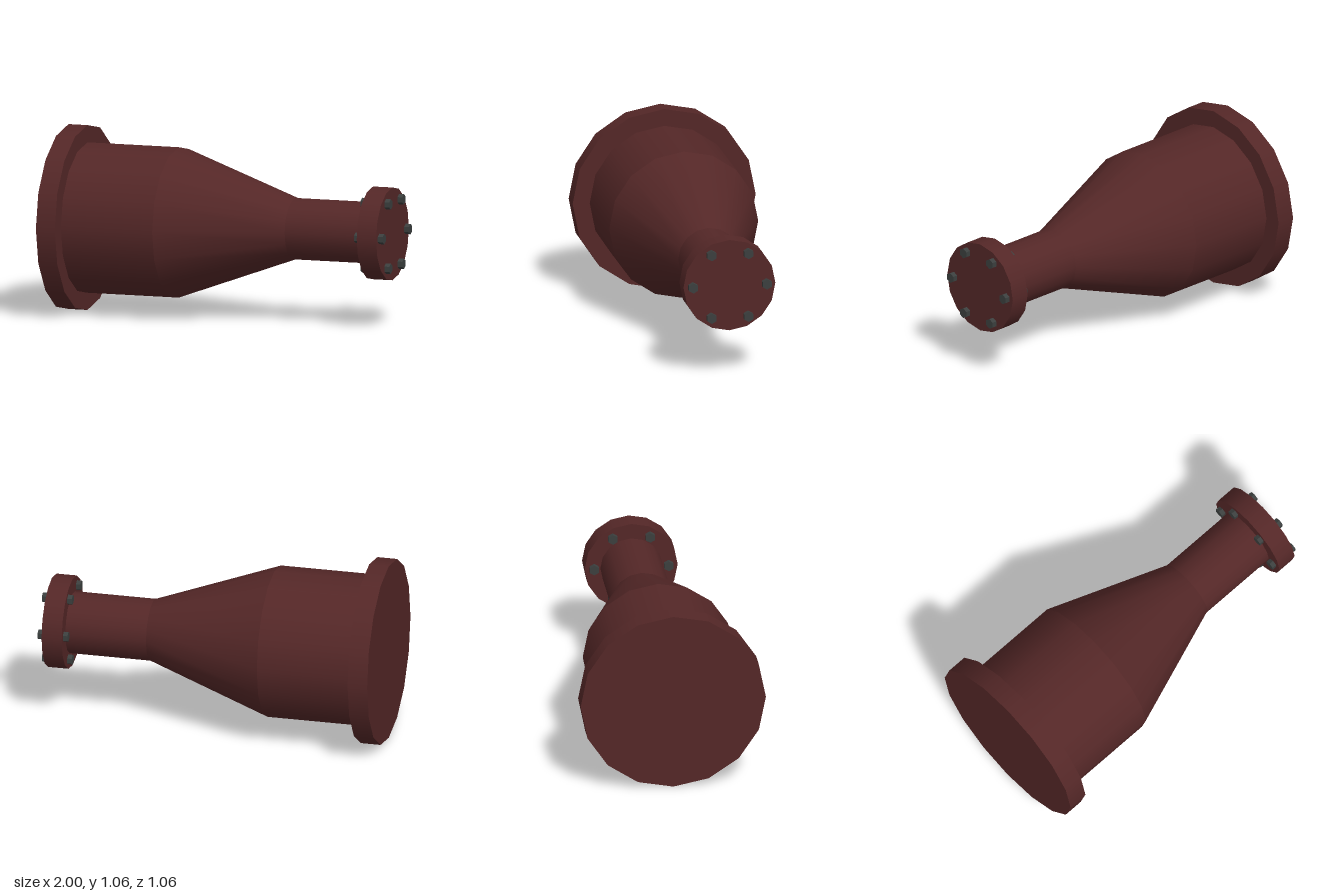
import * as THREE from 'three';

const SIDES = 16;
const AXIS_Y = 0.532;

// Cylinder lying along x from x0 (radius r0) to x1 (radius r1)
function axial(x0, x1, r0, r1, sides, open, turn = 0) {
  const g = new THREE.CylinderGeometry(r1, r0, x1 - x0, sides, 1, open);
  g.rotateY(turn).rotateZ(-Math.PI / 2);
  return g.translate((x0 + x1) / 2, 0, 0);
}

export function createModel() {
  const model = new THREE.Group();
  model.name = 'pipeReducer';

  const paint = new THREE.MeshStandardMaterial({ color: 0x542727 });
  paint.name = 'dark red paint';
  const steel = new THREE.MeshStandardMaterial({ color: 0x3b3f3e });
  steel.name = 'dark steel';

  const add = (name, geometry, material) => {
    const mesh = new THREE.Mesh(geometry, material);
    mesh.name = name;
    mesh.position.y = AXIS_Y;
    model.add(mesh);
    return mesh;
  };

  // Flanges, closed at both ends
  add('largeFlange', axial(-1, -0.885, 0.532, 0.532, SIDES, false), paint);
  add('smallFlange', axial(0.852, 0.97, 0.267, 0.267, SIDES, false), paint);

  // Pipe: wide section, taper and neck
  add('widePipe', axial(-0.885, -0.33, 0.433, 0.433, SIDES, true), paint);
  add('taper', axial(-0.33, 0.38, 0.433, 0.177, SIDES, true), paint);
  add('neck', axial(0.38, 0.852, 0.177, 0.177, SIDES, true), paint);

  // Hexagonal bolts through the small flange
  const boltGeometry = axial(0.825, 1, 0.03, 0.03, 6, false, Math.PI / 2);
  // Separate normals per face keep the hexagon crisp
  const flatBolt = boltGeometry.toNonIndexed();
  flatBolt.computeVertexNormals();
  for (let i = 0; i < 6; i++) {
    const a = (i * Math.PI) / 3;
    const bolt = add('bolt' + (i + 1), flatBolt, steel);
    bolt.position.y += 0.214 * Math.sin(a);
    bolt.position.z = 0.214 * Math.cos(a);
  }

  return model;
}
